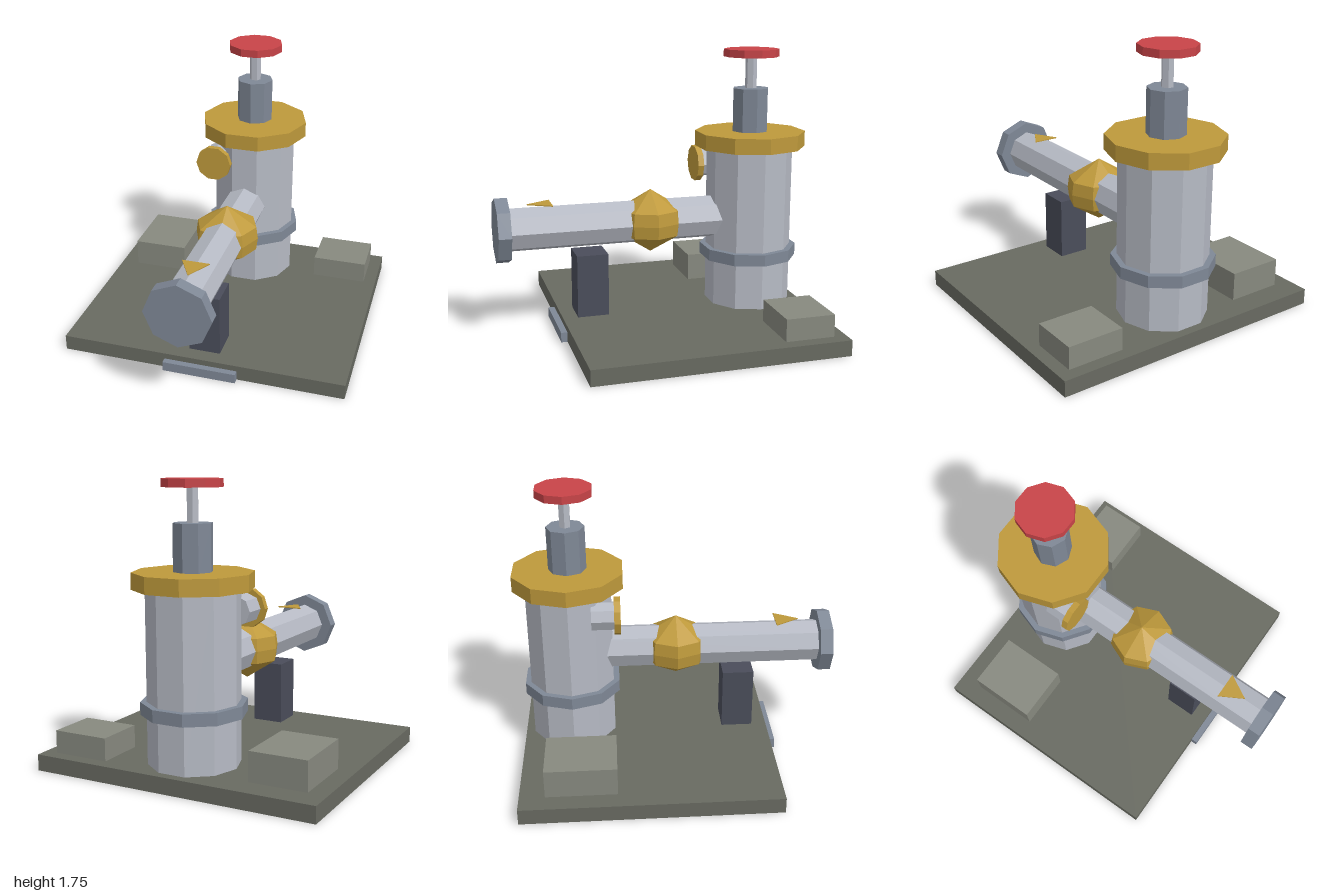
import * as THREE from 'three';

const mat = (name, color) => {
  const m = new THREE.MeshStandardMaterial({ color, flatShading: true });
  m.name = name;
  return m;
};

export function createModel() {
  const model = new THREE.Group();
  model.name = 'pumpStation';

  const steel = mat('light steel', 0xb6bac4);
  const slate = mat('slate metal', 0x7f8896);
  const dark = mat('dark metal', 0x4a4d5a);
  const brass = mat('brass', 0xbe993b);
  const red = mat('valve red', 0xc84448);
  const ground = mat('base slab', 0x686a61);
  const block = mat('concrete block', 0x87897f);

  const add = (name, geometry, material) => {
    const mesh = new THREE.Mesh(geometry, material);
    mesh.name = name;
    model.add(mesh);
    return mesh;
  };
  // box from its limits on each axis
  const box = (name, material, [x0, x1], [y0, y1], [z0, z1]) =>
    add(name, new THREE.BoxGeometry(x1 - x0, y1 - y0, z1 - z0), material)
      .position.set((x0 + x1) / 2, (y0 + y1) / 2, (z0 + z1) / 2);
  // upright prism on the tank axis, with corners on the x axis
  const upright = (name, material, r, sides, y0, y1) => {
    const g = new THREE.CylinderGeometry(r, r, y1 - y0, sides).rotateY(Math.PI / 2);
    add(name, g, material).position.set(0, (y0 + y1) / 2, -0.66);
  };
  // prism lying along z, with corners on the x axis
  const along = (name, material, r, sides, x, y, z0, z1) => {
    const g = new THREE.CylinderGeometry(r, r, z1 - z0, sides)
      .rotateY(Math.PI / 2).rotateX(Math.PI / 2);
    add(name, g, material).position.set(x, y, (z0 + z1) / 2);
  };

  // base and blocks
  box('base', ground, [-0.91, 0.91], [0, 0.1], [-0.98, 0.605]);
  box('frontPlate', slate, [-0.235, 0.235], [0, 0.062], [0.6, 0.645]);
  box('rightBlock', block, [-0.795, -0.437], [0.1, 0.28], [-0.825, -0.39]);
  box('leftBlock', block, [0.472, 0.83], [0.1, 0.24], [-0.9, -0.59]);
  box('pipeSupport', dark, [-0.1, 0.1], [0.1, 0.5], [0.31, 0.51]);

  // tank, lid and hand wheel
  upright('tank', steel, 0.277, 10, 0.1, 1.13);
  upright('tankBand', slate, 0.315, 10, 0.4, 0.475);
  upright('tankLid', brass, 0.355, 10, 1.13, 1.228);
  upright('bonnet', slate, 0.118, 8, 1.228, 1.505);
  upright('stem', steel, 0.037, 6, 1.505, 1.705);
  upright('handWheel', red, 0.177, 10, 1.705, 1.753);

  // outlet pipe and end flange
  along('pipe', steel, 0.137, 8, 0, 0.675, -0.5, 0.93);
  along('endFlange', slate, 0.206, 8, 0, 0.675, 0.92, 1);

  // faceted valve body around the pipe
  const profile = [[0, -0.205], [0.195, -0.08], [0.206, 0], [0.195, 0.08], [0, 0.205]]
    .map(([r, y]) => new THREE.Vector2(r, y));
  add('valveBody', new THREE.LatheGeometry(profile, 8), brass).position.set(0, 0.675, 0.01);

  // gauge on the tank
  along('gaugeStub', steel, 0.09, 8, -0.2, 0.993, -0.52, -0.37);
  along('gaugeDial', brass, 0.118, 10, -0.2, 0.993, -0.381, -0.342);

  // flow arrow above the pipe
  const arrow = new THREE.Shape([[-0.085, -0.65], [0, -0.8], [0.085, -0.65]]
    .map(([x, y]) => new THREE.Vector2(x, y)));
  const arrowGeo = new THREE.ExtrudeGeometry(arrow, { depth: 0.006, bevelEnabled: false })
    .rotateX(-Math.PI / 2);
  add('flowArrow', arrowGeo, brass).position.y = 0.826;

  return model;
}
